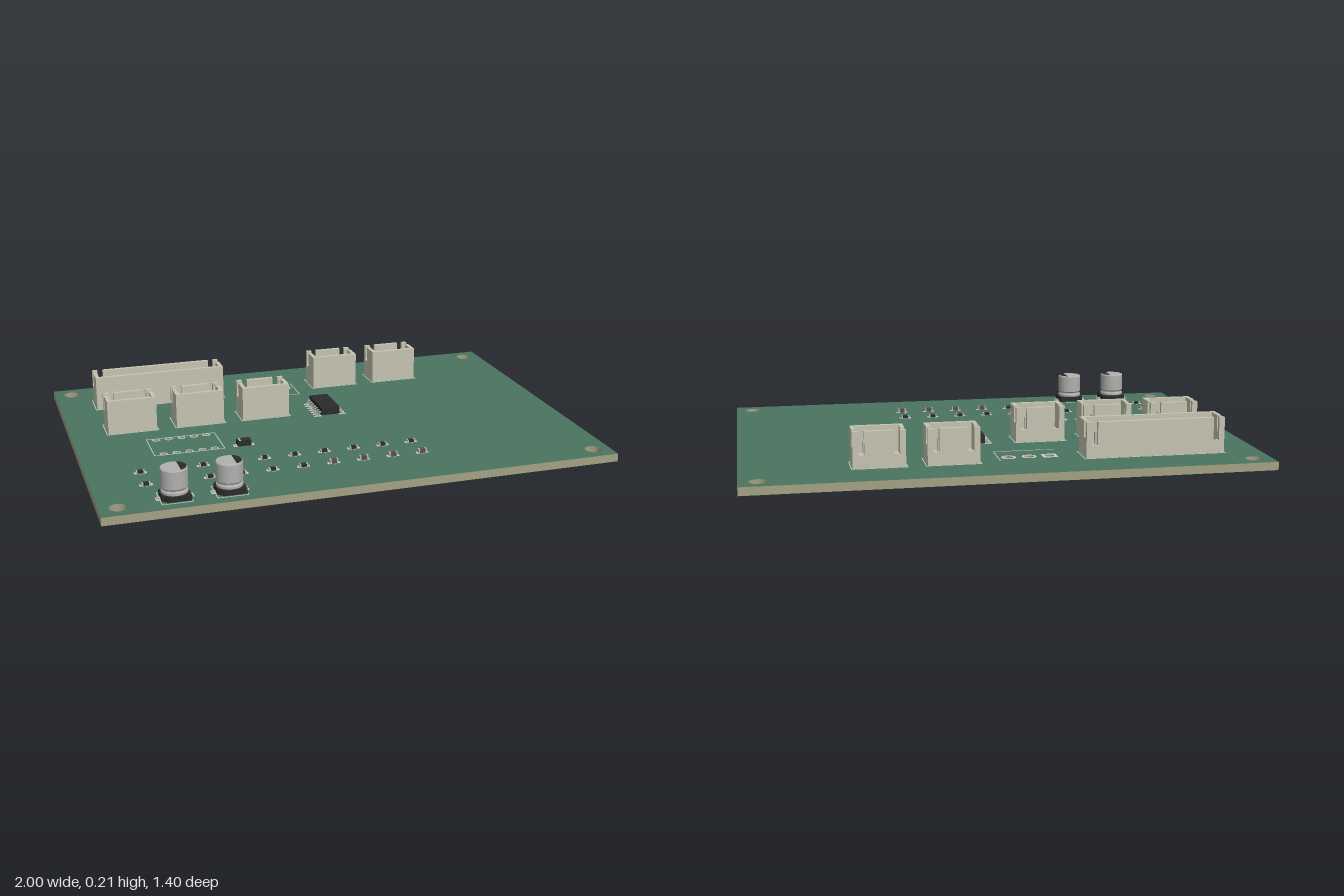
import * as THREE from 'three';

const TOP = 0.068, BOTTOM = 0.036;
const mat = (color, side = THREE.FrontSide) => new THREE.MeshStandardMaterial({ color, side });
const green = mat(0x4a7360), tan = mat(0xa3a183), cream = mat(0xc6c5b2), black = mat(0x2a2b2b);
const metal = mat(0xb4b4ae), silver = mat(0xb0b0ae), silk = mat(0xb9c6bd);
const padMat = mat(0xcccccc, THREE.DoubleSide), darkMark = mat(0x2a2b2b, THREE.DoubleSide);

function add(parent, name, geometry, material, x = 0, y = 0, z = 0) {
  const mesh = new THREE.Mesh(geometry, material);
  mesh.name = name;
  mesh.position.set(x, y, z);
  parent.add(mesh);
  return mesh;
}

function group(parent, name, x = 0, y = 0, z = 0) {
  const g = new THREE.Group();
  g.name = name;
  g.position.set(x, y, z);
  parent.add(g);
  return g;
}

const box = (parent, name, m, w, h, d, x, y, z) =>
  add(parent, name, new THREE.BoxGeometry(w, h, d), m, x, y, z);

// Shape from [x, y] points
const poly = pts => new THREE.Shape(pts.map(p => new THREE.Vector2(...p)));
const extrude = (shape, depth) =>
  new THREE.ExtrudeGeometry(shape, { depth, bevelEnabled: false, curveSegments: 12 });

// Printed rectangle outline lying on the board
function outline(parent, x0, x1, z0, z1) {
  const g = group(parent, 'printedOutline'), t = 0.004, y = TOP + 0.0004;
  for (const z of [z0, z1]) box(g, 'outlineEdge', silk, x1 - x0 + t, 0.0008, t, (x0 + x1) / 2, y, z);
  for (const x of [x0, x1]) box(g, 'outlineEdge', silk, t, 0.0008, z1 - z0 - t, x, y, (z0 + z1) / 2);
}

// Drilled pad on both faces of the board
function drilledPad(parent, x, z, hole, radius, square) {
  const shape = square
    ? poly([[-radius, -radius], [radius, -radius], [radius, radius], [-radius, radius]])
    : new THREE.Shape().absarc(0, 0, radius, 0, Math.PI * 2);
  shape.holes.push(new THREE.Path().absarc(0, 0, hole, 0, Math.PI * 2, true));
  const geometry = new THREE.ShapeGeometry(shape, 16).rotateX(-Math.PI / 2);
  for (const y of [TOP + 0.0008, BOTTOM - 0.0008]) add(parent, 'solderPad', geometry, padMat, x, y, z);
}

// Shrouded pin header; z is the line of the pins
function connector(parent, x, z, pins) {
  const g = group(parent, 'pinConnector', x, TOP, z);
  const w = (pins - 1) * 0.05 + 0.098, h = 0.14, t = 0.016, front = 0.068, back = -0.047;
  box(g, 'connectorFloor', cream, w - 2 * t, 0.036, front - back - 2 * t, 0, 0.018, (front + back) / 2);
  box(g, 'frontWall', cream, w, h, t, 0, h / 2, front - t / 2);

  // Back wall with a keying slot near each end
  const e = w / 2, a = e - 0.022, b = e - 0.044, low = 0.05;
  const wall = poly([[-e, 0], [e, 0], [e, h], [a, h], [a, low], [b, low], [b, h],
    [-b, h], [-b, low], [-a, low], [-a, h], [-e, h]]);
  add(g, 'backWall', extrude(wall, t), cream, 0, 0, back);

  // End walls with a round-bottomed slot
  const c = -0.018, r = 0.012, zb = back + t, zf = front - t;
  const end = poly([[zb, 0], [zf, 0], [zf, h], [c + r, h], [c + r, 0.087]]);
  end.absarc(c, 0.087, r, 0, -Math.PI, true);
  end.lineTo(c - r, h);
  end.lineTo(zb, h);
  const endGeometry = extrude(end, t).rotateY(-Math.PI / 2);
  add(g, 'endWall', endGeometry, cream, e, 0, 0);
  add(g, 'endWall', endGeometry, cream, -e + t, 0, 0);

  // Contacts, with tapered tails below the board
  for (let i = 0; i < pins; i++) {
    const px = (i - (pins - 1) / 2) * 0.05;
    box(g, 'contactPin', metal, 0.0128, 0.145, 0.0128, px, 0.0205, 0);
    const tip = new THREE.CylinderGeometry(0.009, 0.004, 0.016, 4).rotateY(Math.PI / 4);
    add(g, 'pinTip', tip, metal, px, -0.06, 0);
  }
  outline(parent, x - e - 0.005, x + e + 0.005, z + back - 0.006, z + front + 0.005);
}

// Small two-ended chip component
function chip(parent, name, x, z, height, bodyMat) {
  const g = group(parent, name, x, TOP, z);
  box(g, 'chipBody', bodyMat, 0.021, height, 0.016, 0, height / 2 + 0.001, 0);
  for (const s of [-1, 1]) {
    box(g, 'chipEnd', metal, 0.006, height, 0.016, s * 0.0135, height / 2 + 0.001, 0);
    box(g, 'solderPad', padMat, 0.016, 0.0012, 0.019, s * 0.0165, 0.0006, 0);
    box(g, 'printedLine', silk, 0.01, 0.0008, 0.003, 0, 0.0004, s * 0.0145);
  }
}

// Surface-mount can capacitor
function canCapacitor(parent, x, z) {
  const g = group(parent, 'canCapacitor', x, TOP, z);
  const s = 0.053, k = 0.022;
  const base = poly([[-s, -s + k], [-s + k, -s], [s, -s], [s, s], [-s + k, s], [-s, s - k]]);
  add(g, 'capacitorBase', extrude(base, 0.02).rotateX(-Math.PI / 2), black, 0, 0.003, 0);
  const profile = [[0, 0.02], [0.046, 0.02], [0.05, 0.025], [0.05, 0.033], [0.046, 0.038],
    [0.046, 0.042], [0.05, 0.047], [0.05, 0.114], [0.048, 0.118], [0.045, 0.119], [0, 0.119]];
  // Doubled points keep the rim and waist crisp
  const pts = profile.flatMap(p => [new THREE.Vector2(...p), new THREE.Vector2(p[0], p[1] + 0.00001)]);
  add(g, 'capacitorCan', new THREE.LatheGeometry(pts, 40), silver);
  const angle = Math.acos(0.018 / 0.046);
  const mark = new THREE.Shape().absarc(0, 0, 0.046, -angle, angle);
  add(g, 'polarityMark', new THREE.ShapeGeometry(mark, 20).rotateX(-Math.PI / 2), darkMark, 0, 0.1196, 0);
  for (const side of [-1, 1]) {
    box(g, 'capacitorLead', metal, 0.034, 0.006, 0.014, side * 0.05, 0.004, 0);
    box(g, 'solderPad', padMat, 0.05, 0.0012, 0.03, side * 0.045, 0.0006, 0);
  }
  outline(parent, x - 0.056, x + 0.056, z - 0.056, z + 0.056);
}

export function createModel() {
  const model = new THREE.Group();
  model.name = 'circuitBoard';

  // Positions of the empty drilled holes
  const relayHoles = [], plugHoles = [-0.175, -0.096, -0.016].map(x => [x, -0.447]);
  for (let i = 0; i < 5; i++) for (const z of [0.025, 0.178]) relayHoles.push([-0.68 + i * 0.0508, z]);

  // Board with mounting holes and drilled holes
  const board = poly([[-1, -0.7], [1, -0.7], [1, 0.7], [-1, 0.7]]);
  const drill = (x, z, r) => board.holes.push(new THREE.Path().absarc(x, -z, r, 0, Math.PI * 2, true));
  for (const x of [-0.93, 0.93]) for (const z of [-0.632, 0.63]) drill(x, z, 0.033);
  relayHoles.forEach(([x, z]) => drill(x, z, 0.011));
  plugHoles.forEach(([x, z]) => drill(x, z, 0.018));
  add(model, 'board', extrude(board, TOP - BOTTOM).rotateX(-Math.PI / 2), [green, tan], 0, BOTTOM, 0);

  // Empty relay and plug footprints
  relayHoles.forEach(([x, z]) => drilledPad(model, x, z, 0.011, 0.016, false));
  plugHoles.forEach(([x, z], i) => drilledPad(model, x, z, 0.018, 0.029, i === 0));
  outline(model, -0.717, -0.44, 0.01, 0.19);
  box(model, 'printedLine', silk, 0.24, 0.0008, 0.004, -0.095, TOP + 0.0004, -0.347);
  box(model, 'printedLine', silk, 0.004, 0.0008, 0.145, 0.025, TOP + 0.0004, -0.42);

  // Connectors
  connector(model, -0.576, -0.473, 10);
  for (const x of [0.206, 0.484]) connector(model, x, -0.473, 3);
  for (const x of [-0.752, -0.473, -0.195]) connector(model, x, -0.161, 3);

  // Fourteen-leg integrated circuit
  const ic = group(model, 'integratedCircuit', 0.07, TOP, -0.127);
  box(ic, 'circuitBody', black, 0.078, 0.03, 0.173, 0, 0.021, 0);
  const leg = extrude(poly([[0.036, 0.016], [0.047, 0.016], [0.051, 0.001], [0.062, 0.001],
    [0.062, 0.005], [0.054, 0.005], [0.05, 0.02], [0.036, 0.02]]), 0.008);
  for (const side of [0, 1]) for (let i = 0; i < 7; i++) {
    const z = (i - 3) * 0.0254;
    const m = add(ic, 'circuitLeg', leg, metal, 0, 0, z + (side ? 0.004 : -0.004));
    m.rotation.y = side * Math.PI;
    box(ic, 'solderPad', padMat, 0.03, 0.0012, 0.012, (side ? -1 : 1) * 0.054, 0.0006, z);
  }

  // Diode
  const diode = group(model, 'diode', -0.361, TOP, 0.178);
  box(diode, 'diodeBody', black, 0.054, 0.023, 0.032, 0, 0.0135, 0);
  box(diode, 'cathodeBand', silver, 0.008, 0.0008, 0.032, -0.017, 0.0252, 0);
  for (const s of [-1, 1]) {
    box(diode, 'diodeLead', metal, 0.014, 0.004, 0.012, s * 0.031, 0.003, 0);
    box(diode, 'solderPad', padMat, 0.018, 0.0012, 0.024, s * 0.033, 0.0006, 0);
  }

  // Two rows of chip resistors; the second ends in chip capacitors
  for (let i = 0; i < 10; i++) {
    const x = -0.8 + i * 0.12;
    chip(model, 'chipResistor', x, 0.34, 0.01, black);
    if (i < 6) chip(model, 'chipResistor', x, 0.46, 0.01, black);
    else chip(model, 'chipCapacitor', x, 0.46, 0.016, mat(0x5a5146));
  }

  for (const x of [-0.722, -0.52]) canCapacitor(model, x, 0.6);
  return model;
}
